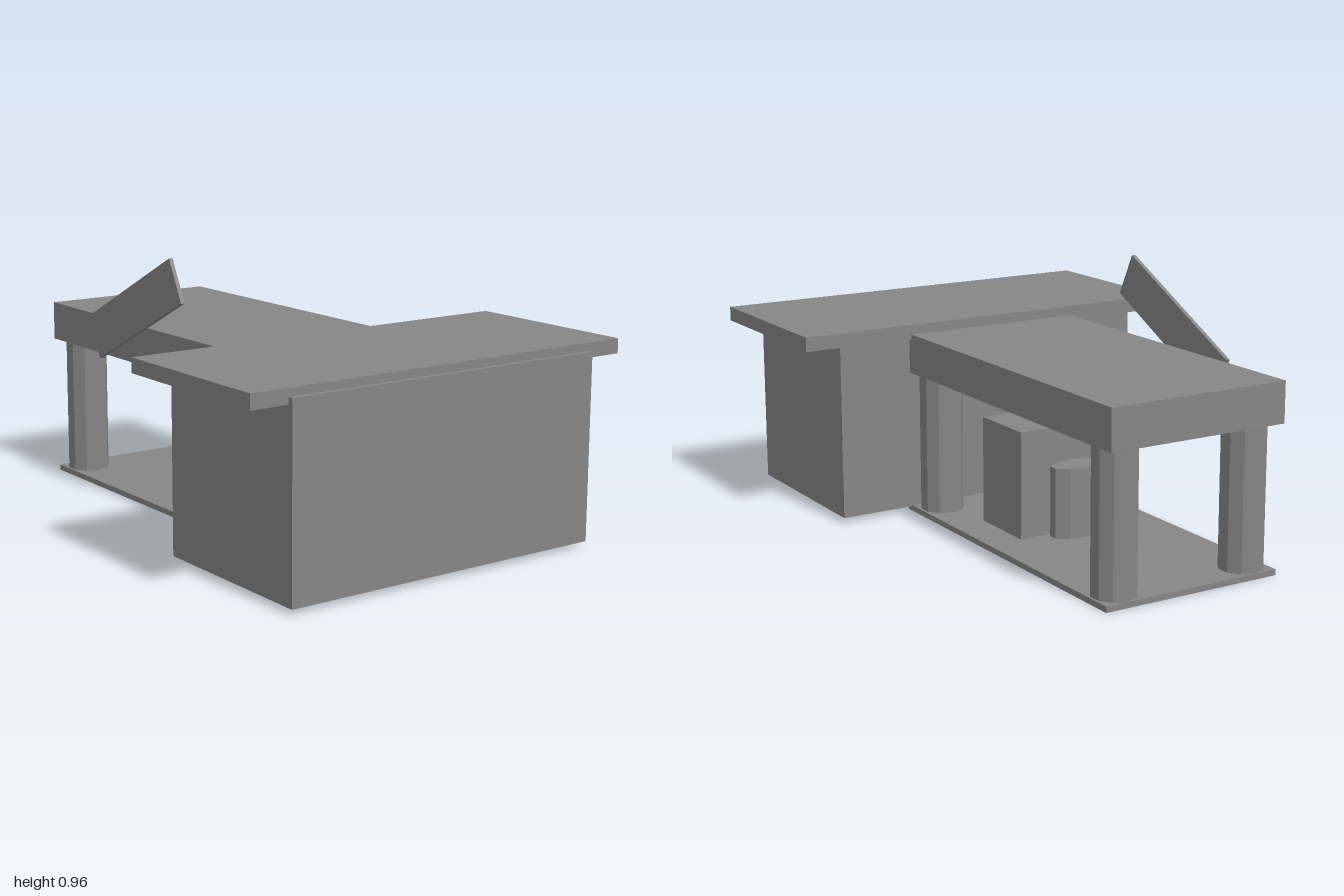
import * as THREE from 'three';

const darkGrey = new THREE.MeshStandardMaterial({ color: 0x868686, flatShading: true });

export function createModel() {
  const model = new THREE.Group();

  function add(name, geometry, x, y, z) {
    const mesh = new THREE.Mesh(geometry, darkGrey);
    mesh.name = name;
    mesh.position.set(x, y, z);
    model.add(mesh);
    return mesh;
  }

  // Box given by its extents on each axis
  function box(name, [x0, x1], [y0, y1], [z0, z1]) {
    return add(name, new THREE.BoxGeometry(x1 - x0, y1 - y0, z1 - z0),
      (x0 + x1) / 2, (y0 + y1) / 2, (z0 + z1) / 2);
  }

  // Ten-sided column with a flat face to the front, optionally oval
  function column(name, x, z, y0, y1, rx, rz) {
    const geometry = new THREE.CylinderGeometry(1, 1, y1 - y0, 10);
    geometry.rotateY(Math.PI / 10).scale(rx, 1, rz);
    return add(name, geometry, x, (y0 + y1) / 2, z);
  }

  // Forecourt and canopy
  box('forecourtSlab', [-0.978, 0.347], [0, 0.021], [-0.345, 0.345]);
  box('canopy', [-1, 0.318], [0.534, 0.68], [-0.347, 0.345]);
  for (const x of [-0.895, 0.24]) {
    for (const z of [-0.26, 0.26]) column('canopyPillar', x, z, 0.018, 0.53, 0.08, 0.08);
  }

  // Shop building with overhanging roof slab
  box('shop', [0.318, 1], [0.018, 0.687], [-0.63, 0.63]);
  box('shopRoof', [0.3, 0.98], [0.663, 0.716], [-0.772, 0.772]);

  // Pump, hose and oval bin
  box('pump', [-0.249, 0.012], [0.02, 0.413], [-0.215, 0.2]);
  column('bin', -0.315, -0.01, 0.031, 0.288, 0.058, 0.12);
  const hosePoints = [];
  for (let i = 0; i <= 8; i++) {
    const a = -Math.PI / 2 + (Math.PI * i) / 8;
    hosePoints.push(new THREE.Vector3(0, 0.146 * Math.sin(a), 0.07 * Math.cos(a)));
  }
  const hose = new THREE.CatmullRomCurve3(hosePoints);
  add('pumpHose', new THREE.TubeGeometry(hose, 10, 0.016, 8), -0.143, 0.221, 0.2);

  // Tilted sign board in front of the canopy
  const sign = add('signBoard', new THREE.BoxGeometry(0.64, 0.17, 0.015), -0.328, 0.746, 0.376);
  sign.rotation.z = 0.463;

  return model;
}
